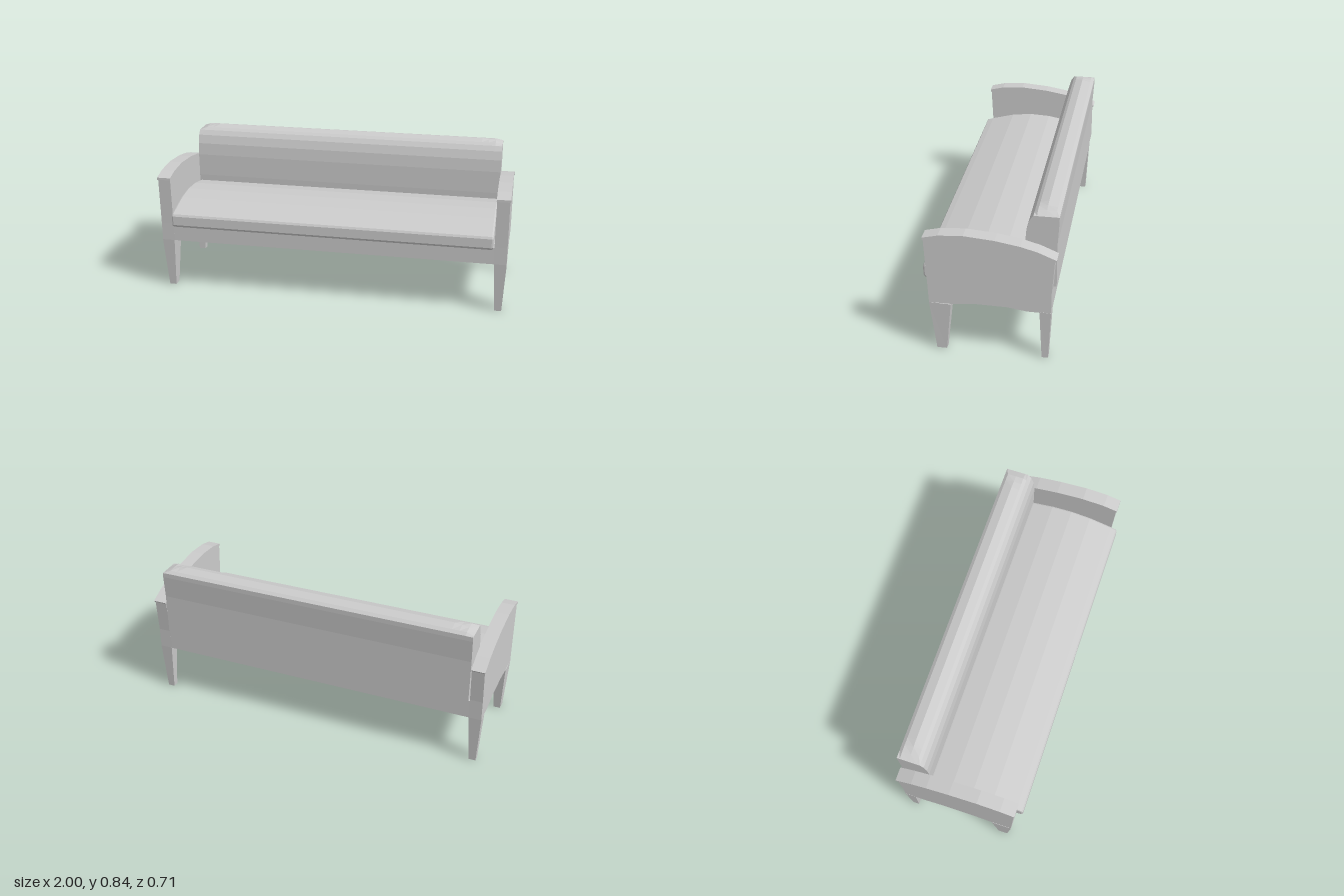
import * as THREE from 'three';

const material = new THREE.MeshStandardMaterial({ color: 0xcccccc, flatShading: true });

// Extrude a side profile of [z, y] points along x, from x0 to x1
function extrudeAcross(profile, x0, x1, options = {}) {
  const bevel = options.bevel ?? 0;
  const shape = new THREE.Shape(profile.map(([z, y]) => new THREE.Vector2(z, y)));
  const geometry = new THREE.ExtrudeGeometry(shape, {
    depth: x1 - x0 - 2 * bevel,
    steps: options.steps ?? 1,
    bevelEnabled: bevel > 0,
    bevelThickness: bevel,
    bevelSize: bevel,
    bevelOffset: -bevel,
    bevelSegments: 2,
  });
  geometry.rotateY(-Math.PI / 2);
  geometry.translate(x1 - bevel, 0, 0);
  return geometry;
}

function addMesh(parent, name, geometry) {
  const mesh = new THREE.Mesh(geometry, material);
  mesh.name = name;
  parent.add(mesh);
}

// Apply a rule to every vertex
function reshape(geometry, rule) {
  const p = geometry.attributes.position;
  const v = new THREE.Vector3();
  for (let i = 0; i < p.count; i++) {
    rule(v.fromBufferAttribute(p, i));
    p.setXYZ(i, v.x, v.y, v.z);
  }
  geometry.computeVertexNormals();
  return geometry;
}

// Shared arched underside of the frame, back to front
const arch = [[-0.328, 0.292], [-0.205, 0.293], [-0.1, 0.308], [0.07, 0.31], [0.195, 0.297], [0.31, 0.297]];

// Crown of the arm, front to back
const crown = [[0.327, 0.674], [0.24, 0.691], [0.12, 0.701], [-0.04, 0.688], [-0.17, 0.666], [-0.26, 0.642], [-0.343, 0.608]];

// Tapered leg: z ranges at the top and at the foot
function leg(side, top, foot) {
  const profile = [[foot[0], 0], [foot[1], 0], [top[1], 0.297], [top[0], 0.293]];
  return reshape(extrudeAcross(profile, -0.5, 0.5), (v) => {
    const t = Math.min(1, v.y / 0.293);
    const inner = THREE.MathUtils.lerp(0.942, 0.925, t);
    const outer = THREE.MathUtils.lerp(0.981, 0.996, t);
    v.x = side * 0.9615 + v.x * (outer - inner);
  });
}

export function createModel() {
  const sofa = new THREE.Group();
  sofa.name = 'sofa';

  // Frame between the arms
  addMesh(sofa, 'seatFrame', extrudeAcross([...arch, [0.313, 0.395], [-0.328, 0.4]], -0.926, 0.926));

  // Arms, caps and legs on both sides
  for (const side of [1, -1]) {
    const end = new THREE.Group();
    end.name = side > 0 ? 'leftEnd' : 'rightEnd';
    const span = (a, b) => (side > 0 ? [a, b] : [-b, -a]);
    addMesh(end, 'armPanel', extrudeAcross([...arch, [0.314, 0.4], ...crown, [-0.329, 0.41]], ...span(0.925, 0.996)));

    const capProfile = [
      [0.332, 0.672], ...crown.slice(1, -1), [-0.347, 0.606], [-0.353, 0.615],
      [-0.26, 0.654], [-0.17, 0.679], [-0.04, 0.701], [0.12, 0.714], [0.25, 0.705], [0.332, 0.685],
    ];
    addMesh(end, 'armCap', extrudeAcross(capProfile, ...span(0.923, 1)));
    addMesh(end, 'frontLeg', leg(side, [0.195, 0.31], [0.227, 0.28]));
    addMesh(end, 'backLeg', leg(side, [-0.328, -0.268], [-0.314, -0.28]));
    sofa.add(end);
  }

  // Domed seat cushion with a rolled front edge
  const seatProfile = [
    [-0.3, 0.395], [0.325, 0.392], [0.347, 0.397], [0.355, 0.41], [0.355, 0.462], [0.348, 0.474],
    [0.315, 0.485], [0.18, 0.52], [0.06, 0.533], [-0.06, 0.527], [-0.18, 0.505], [-0.3, 0.475],
  ];
  addMesh(sofa, 'seatCushion', extrudeAcross(seatProfile, -0.92, 0.92, { bevel: 0.01 }));

  // Back cushion, its top sloping down towards both ends
  const backProfile = [
    [-0.345, 0.41], [-0.19, 0.41], [-0.183, 0.54], [-0.182, 0.67], [-0.188, 0.74], [-0.203, 0.79], [-0.222, 0.817],
    [-0.24, 0.83], [-0.285, 0.843], [-0.335, 0.83], [-0.353, 0.817], [-0.353, 0.79], [-0.345, 0.66],
  ];
  const slope = (x) => x > 0.88
    ? THREE.MathUtils.mapLinear(x, 0.88, 0.92, 0.832, 0.816)
    : THREE.MathUtils.mapLinear(x, 0.8, 0.88, 0.843, 0.832);
  const back = extrudeAcross(backProfile, -0.92, 0.92, { steps: 46 });
  addMesh(sofa, 'backCushion', reshape(back, (v) => {
    v.y = Math.min(v.y, slope(Math.abs(v.x)));
  }));

  return sofa;
}
